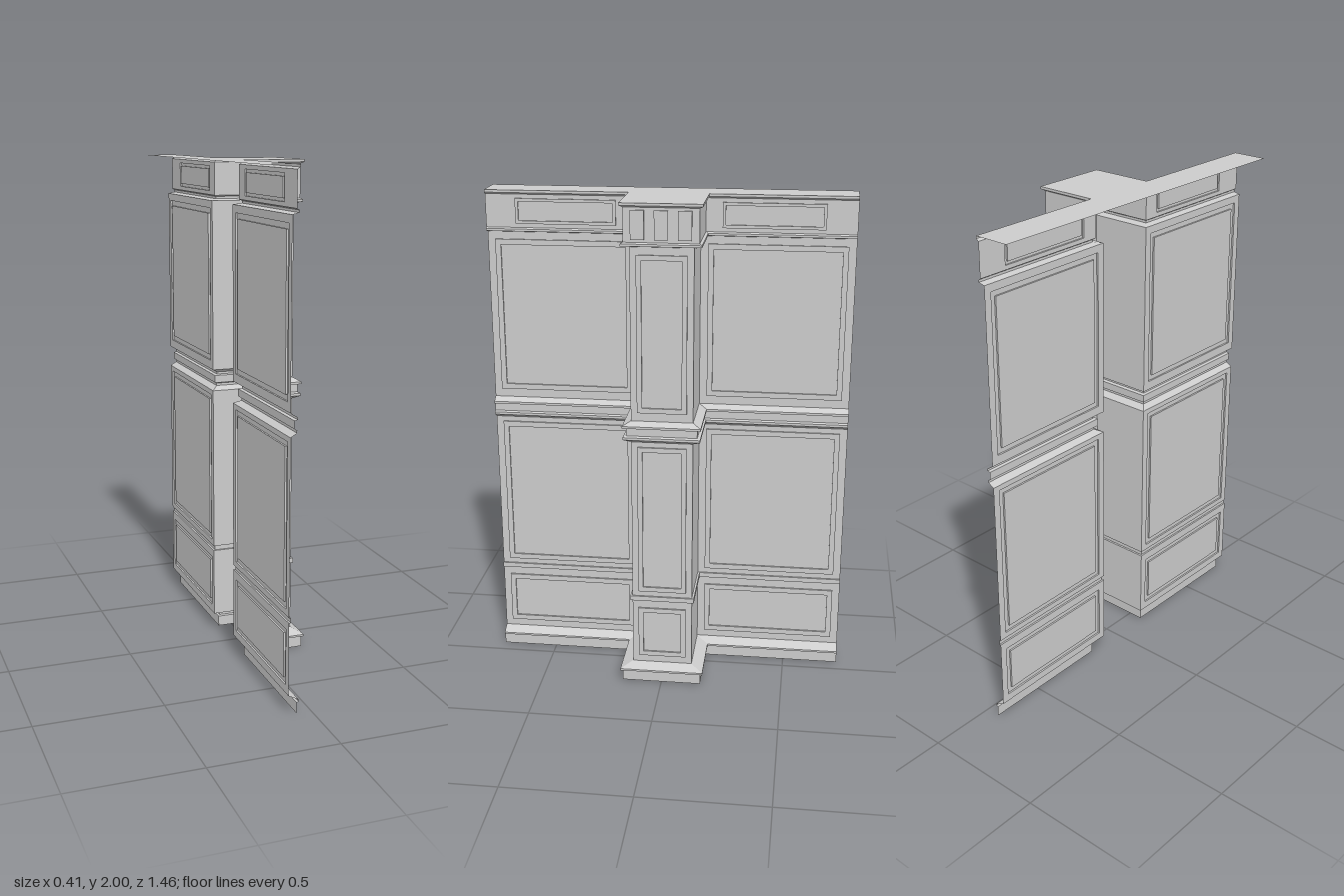
import * as THREE from 'three';

const WALL_X = -0.092, PIER_X = 0.16, PIER_Z = 0.123, END_Z = 0.73;
const material = new THREE.MeshStandardMaterial({ color: 0xcccccc, flatShading: true, side: THREE.DoubleSide });

// Plan outline (x, z) of wall and pilaster, pushed outward by d
function plan(d) {
  const z = PIER_Z + 1.2 * d;
  return [
    [WALL_X + d, END_Z], [WALL_X + d, z], [PIER_X + d, z],
    [PIER_X + d, -z], [WALL_X + d, -z], [WALL_X + d, -END_Z],
  ];
}

// Two triangles, corners counter-clockwise seen from outside
function quad(out, a, b, c, d) {
  out.push(...a, ...b, ...c, ...a, ...c, ...d);
}

function surface(name, positions) {
  const geometry = new THREE.BufferGeometry();
  geometry.setAttribute('position', new THREE.Float32BufferAttribute(positions, 3));
  geometry.computeVertexNormals();
  const mesh = new THREE.Mesh(geometry, material);
  mesh.name = name;
  return mesh;
}

// Moulding: profile of [offset, height] points, bottom to top, swept round the plan
function moulding(name, profile) {
  const out = [];
  for (let i = 0; i + 1 < profile.length; i++) {
    const [d0, y0] = profile[i], [d1, y1] = profile[i + 1];
    const lo = plan(d0), hi = plan(d1);
    for (let j = 0; j + 1 < lo.length; j++) {
      quad(out,
        [lo[j][0], y0, lo[j][1]], [lo[j + 1][0], y0, lo[j + 1][1]],
        [hi[j + 1][0], y1, hi[j + 1][1]], [hi[j][0], y1, hi[j][1]]);
    }
  }
  return surface(name, out);
}

// Wall face with a raised rectangular frame: nested rectangles joined by steps.
// Rectangles are [zMax, zMin, yMin, yMax].
function framedFace(name, x, face, panel, width, depth) {
  const [z0, z1, y0, y1] = panel;
  const inner = [z0 - width, z1 + width, y0 + width, y1 - width];
  const rings = [[face, 0], [panel, 0], [panel, depth], [inner, depth], [inner, 0]].map(([r, h]) => [
    [x + h, r[2], r[0]], [x + h, r[2], r[1]], [x + h, r[3], r[1]], [x + h, r[3], r[0]],
  ]);
  const out = [];
  for (let i = 0; i + 1 < rings.length; i++) {
    for (let k = 0; k < 4; k++) {
      const n = (k + 1) % 4;
      quad(out, rings[i][k], rings[i][n], rings[i + 1][n], rings[i + 1][k]);
    }
  }
  quad(out, ...rings[4]);
  return surface(name, out);
}

// One storey of plain face at offset d: wall panels both sides and pilaster cheeks
function storey(name, d, [y0, y1], [p0, p1], [zIn, zOut], width) {
  const group = new THREE.Group();
  group.name = name;
  const z = PIER_Z + 1.2 * d;
  const wx = WALL_X + d, px = PIER_X + d;
  group.add(framedFace('leftWallPanel', wx, [END_Z, z, y0, y1], [zOut, zIn, p0, p1], width, 0.007));
  group.add(framedFace('rightWallPanel', wx, [-z, -END_Z, y0, y1], [-zIn, -zOut, p0, p1], width, 0.007));
  const cheeks = [];
  quad(cheeks, [wx, y0, z], [px, y0, z], [px, y1, z], [wx, y1, z]);
  quad(cheeks, [px, y0, -z], [wx, y0, -z], [wx, y1, -z], [px, y1, -z]);
  group.add(surface('pilasterCheeks', cheeks));
  return group;
}

export function createModel() {
  const model = new THREE.Group();
  model.name = 'panelledWall';

  // Three panelled storeys
  const storeys = [
    ['dado', [0.075, 0.36], [0.106, 0.326]],
    ['lowerWall', [0.38, 1.055], [0.403, 1.034]],
    ['upperWall', [1.143, 1.832], [1.178, 1.802]],
  ];
  for (const [name, span, panel] of storeys) {
    const group = storey(name, 0, span, panel, [0.153, 0.7], 0.022);
    group.add(framedFace('pilasterPanel', PIER_X,
      [PIER_Z, -PIER_Z, ...span], [0.098, -0.098, ...panel], 0.02, 0.007));
    model.add(group);
  }

  // Frieze with framed wall panels and upright bars on the pilaster
  const frieze = storey('frieze', 0.018, [1.852, 1.983], [1.868, 1.967], [0.21, 0.61], 0.012);
  const front = [], fz = PIER_Z + 1.2 * 0.018, fx = PIER_X + 0.018;
  quad(front, [fx, 1.852, fz], [fx, 1.852, -fz], [fx, 1.983, -fz], [fx, 1.983, fz]);
  frieze.add(surface('pilasterFrieze', front));
  for (const z of [-0.09, 0, 0.09]) {
    const bar = new THREE.Mesh(new THREE.BoxGeometry(0.008, 0.11, 0.052), material);
    bar.name = 'friezeBar';
    bar.position.set(fx + 0.004, 1.918, z);
    frieze.add(bar);
  }
  model.add(frieze);

  // Horizontal mouldings
  model.add(moulding('skirting', [[0.033, 0], [0.033, 0.043], [0.041, 0.046], [0.041, 0.054], [0, 0.075]]));
  model.add(moulding('dadoBand', [[0, 0.36], [0.007, 0.36], [0.007, 0.38], [0, 0.38]]));
  model.add(moulding('middleRail', [
    [0, 1.055], [0.025, 1.07], [0.025, 1.08], [0.015, 1.085],
    [0.015, 1.115], [0.027, 1.118], [0.027, 1.127], [0, 1.143],
  ]));
  model.add(moulding('friezeRail', [[0, 1.832], [0.026, 1.838], [0.026, 1.847], [0.018, 1.852]]));
  model.add(moulding('cornice', [[0.018, 1.983], [0.029, 1.99], [0.029, 2]]));

  // Flat top reaching back behind the wall
  const outline = [...plan(0.029), [-0.205, -END_Z], [-0.205, END_Z]];
  const top = new THREE.ShapeGeometry(new THREE.Shape(outline.map(([x, z]) => new THREE.Vector2(x, -z))));
  top.rotateX(-Math.PI / 2);
  const cap = new THREE.Mesh(top, material);
  cap.name = 'topCap';
  cap.position.y = 2;
  model.add(cap);

  return model;
}
